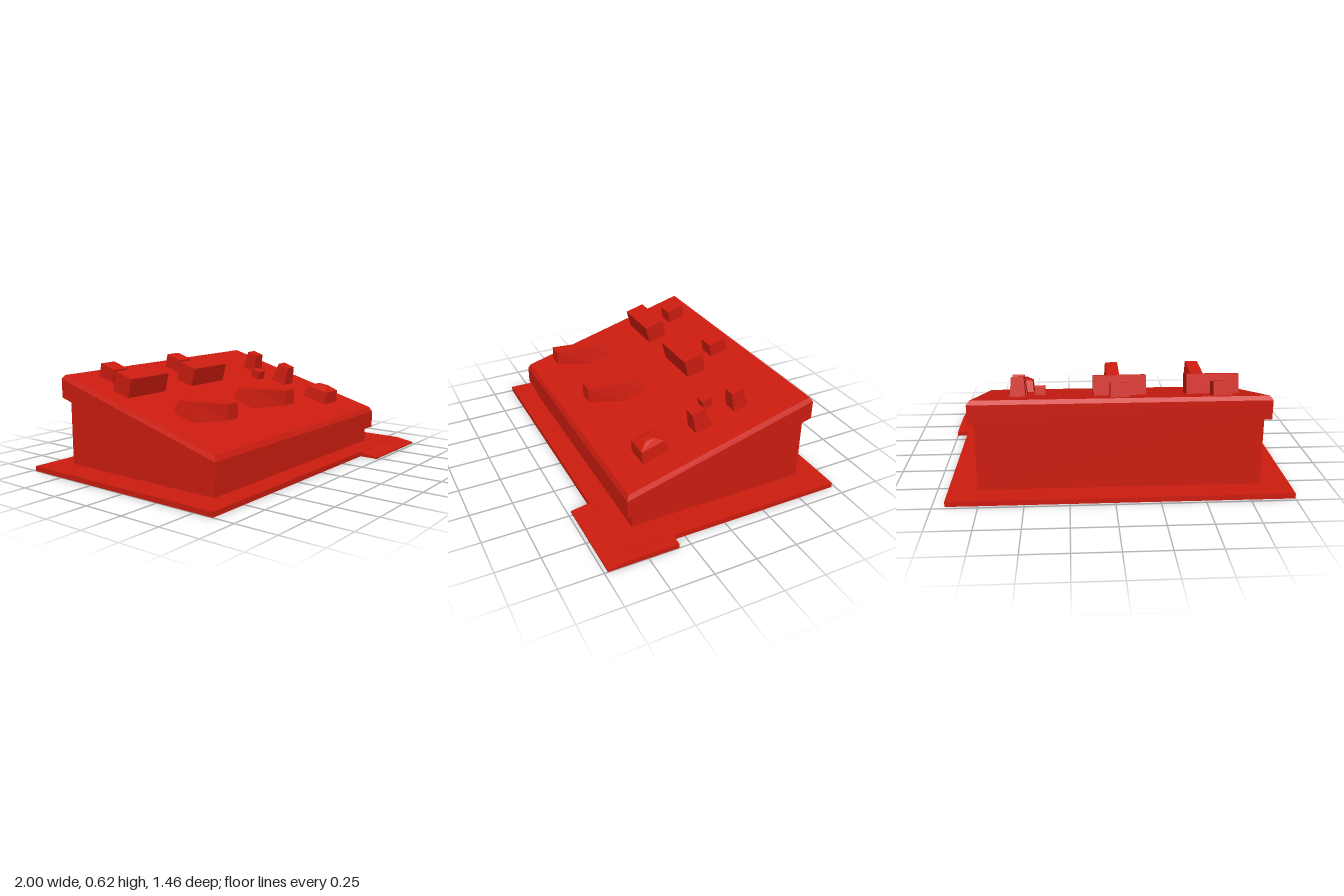
import * as THREE from 'three';

const red = new THREE.MeshStandardMaterial({ color: 0xcc1c0f, flatShading: true });

// Lofts four-cornered rings [frontHalfWidth, zFront, yFront, backHalfWidth, zBack, yBack],
// ordered bottom to top (or back to front), and caps both ends.
function loft(name, cx, rings) {
  const pos = [];
  const corners = rings.map(([wf, zf, yf, wb, zb, yb]) => [
    [-wf, yf, zf], [wf, yf, zf], [wb, yb, zb], [-wb, yb, zb],
  ]);
  const quad = (a, b, c, d) => pos.push(...a, ...b, ...c, ...a, ...c, ...d);
  const first = corners[0], last = corners[corners.length - 1];
  quad(first[3], first[2], first[1], first[0]);
  quad(...last);
  for (let r = 0; r + 1 < corners.length; r++) {
    for (let i = 0; i < 4; i++) {
      const j = (i + 1) % 4;
      quad(corners[r][i], corners[r][j], corners[r + 1][j], corners[r + 1][i]);
    }
  }
  const geo = new THREE.BufferGeometry();
  geo.setAttribute('position', new THREE.Float32BufferAttribute(pos, 3));
  geo.computeVertexNormals();
  const mesh = new THREE.Mesh(geo, red);
  mesh.name = name;
  mesh.position.x = cx;
  return mesh;
}

// Ring with the same half width at front and back
const ring = (w, zf, yf, zb, yb) => [w, zf, yf, w, zb, yb];

export function createModel() {
  const group = new THREE.Group();
  group.name = 'controlConsole';

  // Floor plate and the step plate at its front corner
  group.add(loft('floorPlate', -0.035, [
    ring(0.965, 0.62, 0, -0.73, 0),
    ring(0.965, 0.62, 0.03, -0.73, 0.03),
  ]));
  group.add(loft('stepPlate', 0.7375, [
    ring(0.2625, 0.32, 0, 0.32, 0.028),
    ring(0.2625, 0.62, 0, 0.62, 0.028),
    ring(0.2625, 0.73, 0, 0.73, 0.01),
  ]));

  // Wedge-shaped body
  group.add(loft('body', -0.033, [
    ring(0.798, 0.49, 0.02, -0.59, 0.02),
    ring(0.798, 0.49, 0.17, -0.59, 0.46),
  ]));

  // Sloping panel with a bevelled top edge
  group.add(loft('panel', -0.035, [
    ring(0.83, 0.525, 0.125, -0.625, 0.432),
    ring(0.83, 0.525, 0.23, -0.625, 0.543),
    ring(0.814, 0.51, 0.26, -0.61, 0.565),
  ]));

  // Two matching control sets: button, wide block and lever
  for (const [button, block, lever] of [[-0.607, -0.588, -0.58], [-0.035, -0.047, -0.038]]) {
    group.add(loft('button', button, [
      ring(0.053, -0.42, 0.495, -0.536, 0.525),
      ring(0.053, -0.405, 0.59, -0.51, 0.622),
    ]));
    group.add(loft('wideBlock', block, [
      ring(0.153, -0.212, 0.44, -0.332, 0.472),
      ring(0.153, -0.178, 0.566, -0.298, 0.599),
    ]));
    group.add(loft('lever', lever, [
      [0.062, 0.03, 0.375, 0.04, 0.068, 0.461],
      [0.062, 0.18, 0.345, 0.04, 0.18, 0.458],
      [0.046, 0.415, 0.388, 0.041, 0.415, 0.473],
    ]));
  }

  // Small switches on the side
  group.add(loft('tinySwitch', 0.418, [
    ring(0.031, -0.128, 0.42, -0.187, 0.436),
    ring(0.031, -0.112, 0.485, -0.168, 0.504),
  ]));
  group.add(loft('frontSwitch', 0.552, [
    ring(0.052, 0.008, 0.385, -0.098, 0.413),
    ring(0.035, 0.03, 0.51, -0.045, 0.535),
  ]));
  group.add(loft('backSwitch', 0.541, [
    ring(0.046, -0.243, 0.455, -0.333, 0.478),
    ring(0.036, -0.226, 0.577, -0.297, 0.598),
  ]));

  // Square knob with a hipped top
  group.add(loft('knob', 0.547, [
    ring(0.075, 0.348, 0.295, 0.18, 0.341),
    ring(0.066, 0.356, 0.38, 0.215, 0.415),
    ring(0.026, 0.31, 0.414, 0.255, 0.422),
  ]));

  return group;
}
